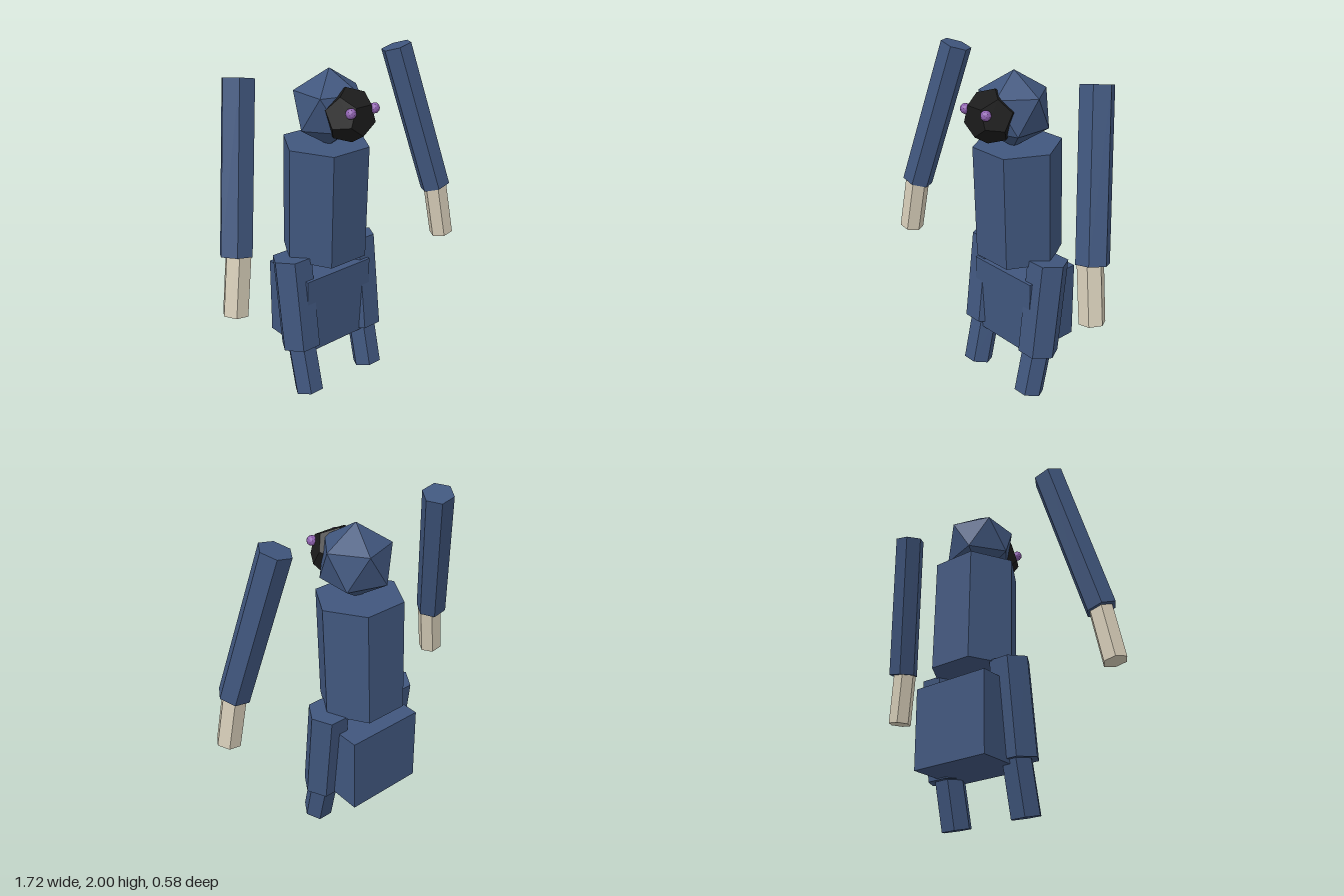
import * as THREE from 'three';

const mat = (name, color) => {
  const m = new THREE.MeshStandardMaterial({ color, flatShading: true });
  m.name = name;
  return m;
};

export function createModel() {
  const blue = mat('slate blue', 0x40567d);
  const black = mat('soot black', 0x1b1b1b);
  const cream = mat('cream', 0xd6cdb8);
  const purple = mat('purple', 0x8f62b0);

  const model = new THREE.Group();
  model.name = 'blockyApe';

  const add = (name, geometry, material, x = 0, y = 0, z = 0) => {
    const mesh = new THREE.Mesh(geometry, material);
    mesh.name = name;
    mesh.position.set(x, y, z);
    model.add(mesh);
    return mesh;
  };

  // Six-sided prism between two points, with corners towards the sides
  const prism = (name, from, to, radius, material) => {
    const a = new THREE.Vector3(...from);
    const b = new THREE.Vector3(...to);
    const axis = b.clone().sub(a);
    const geometry = new THREE.CylinderGeometry(radius, radius, axis.length(), 6).rotateY(Math.PI / 6);
    const mesh = add(name, geometry, material);
    mesh.position.copy(a).add(b).multiplyScalar(0.5);
    mesh.quaternion.setFromUnitVectors(new THREE.Vector3(0, 1, 0), axis.normalize());
  };

  // Body
  prism('torso', [0, 0.85, -0.063], [0, 1.53, -0.043], 0.258, blue);
  add('hips', new THREE.BoxGeometry(0.48, 0.475, 0.365), blue, 0, 0.5175, -0.1025);

  // Head standing on one corner
  const tip = Math.atan(2 / (1 + Math.sqrt(5)));
  add('head', new THREE.IcosahedronGeometry(0.22, 0).rotateZ(-tip), blue, 0, 1.733, -0.014);

  // Muzzle with a pentagon facing forward, point down
  const muzzle = new THREE.DodecahedronGeometry(0.15, 0).rotateY(-tip).rotateZ(-Math.PI / 2);
  add('muzzle', muzzle, black, 0, 1.727, 0.15);

  // Paired parts
  for (const [side, s] of [['left', 1], ['right', -1]]) {
    add(side + 'Eye', new THREE.IcosahedronGeometry(0.03, 1), purple, s * 0.083, 1.775, 0.26);

    prism(side + 'Arm', [s * 0.744, 1.115, 0.122], [s * 0.553, 1.98, -0.066], 0.093, blue);
    prism(side + 'Hand', [s * 0.788, 0.798, 0.155], [s * 0.732, 1.14, 0.128], 0.073, cream);

    const knee = s > 0 ? 0.285 : 0.315;
    prism(side + 'Thigh', [s * 0.243, knee, 0.01], [s * 0.243, 0.873, -0.06], 0.122, blue);
    prism(side + 'Shin', [s * 0.237, 0.02, 0.078], [s * 0.237, 0.34, 0.002], 0.09, blue);
  }

  return model;
}
